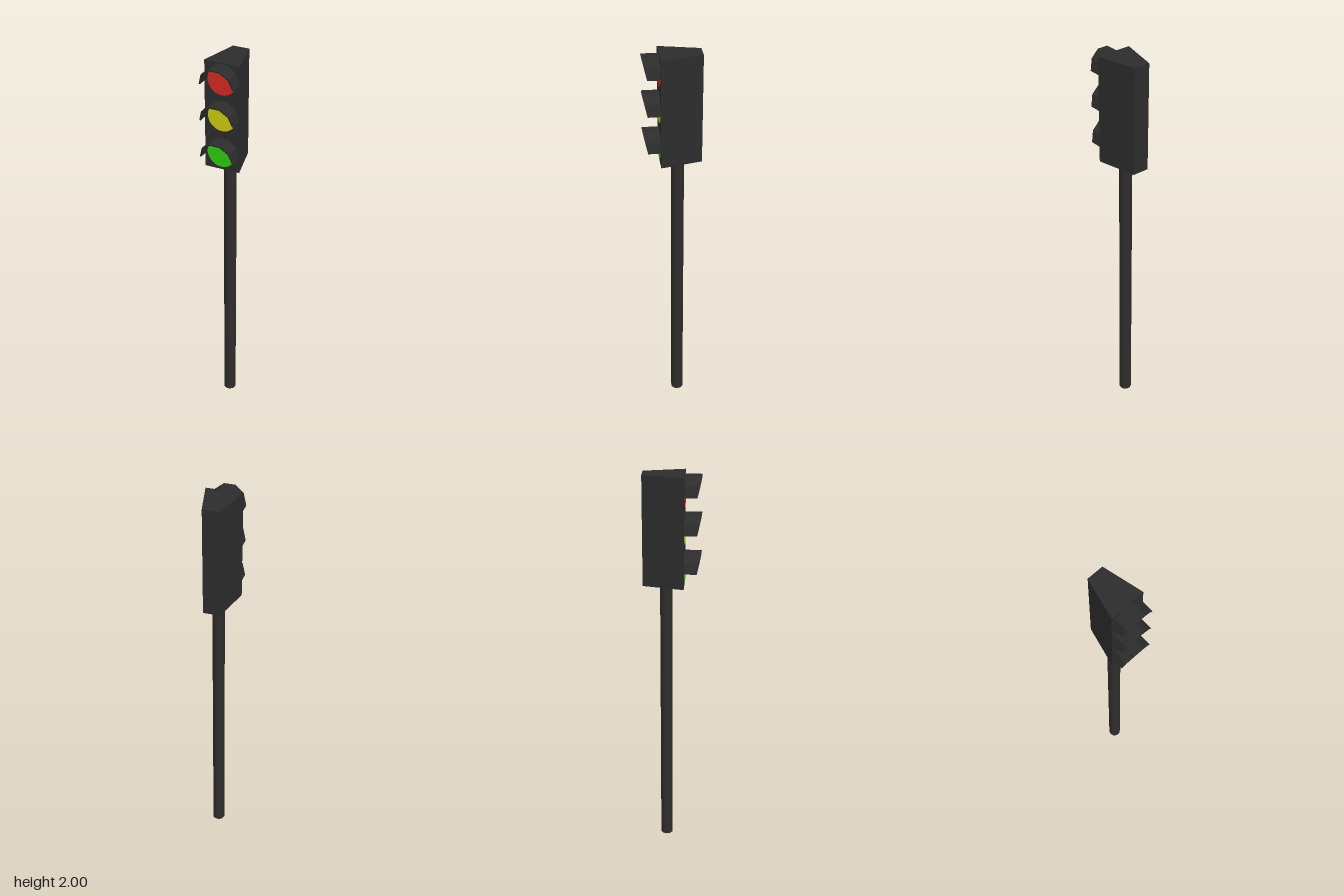
import * as THREE from 'three';

const material = (color) => new THREE.MeshStandardMaterial({ color });
const DARK = 0x2c2c2c;

function part(name, geometry, mat, parent) {
  const mesh = new THREE.Mesh(geometry, mat);
  mesh.name = name;
  parent.add(mesh);
  return mesh;
}

// Half-ring hood in five facets, its front edge raked back toward the sides
function visorGeometry() {
  const outer = [], inner = [];
  for (let i = 0; i <= 5; i++) {
    const a = (i / 5) * Math.PI;
    outer.push(new THREE.Vector2(0.088 * Math.cos(a), 0.092 * Math.sin(a)));
    inner.unshift(new THREE.Vector2(0.081 * Math.cos(a), 0.085 * Math.sin(a)));
  }
  const geometry = new THREE.ExtrudeGeometry(new THREE.Shape([...outer, ...inner]), { depth: 1, bevelEnabled: false });
  const p = geometry.attributes.position;
  for (let i = 0; i < p.count; i++) {
    if (p.getZ(i) > 0.5) p.setZ(i, 0.062 + 0.021 * Math.min(1, p.getY(i) / 0.087));
  }
  geometry.computeVertexNormals();
  return geometry;
}

export function createModel() {
  const model = new THREE.Group();
  model.name = 'trafficLight';
  const dark = material(DARK);

  // Pole
  const pole = part('pole', new THREE.CylinderGeometry(0.032, 0.032, 1.45, 10).rotateY(Math.PI / 2), material(0x2e2d2b), model);
  pole.position.set(0, 0.725, -0.029);

  // Housing: a prism that narrows toward the back
  const plan = new THREE.Shape([
    new THREE.Vector2(-0.09, -0.06), new THREE.Vector2(0.09, -0.06),
    new THREE.Vector2(0.042, 0.143), new THREE.Vector2(-0.042, 0.143),
  ]);
  const housing = part('housing', new THREE.ExtrudeGeometry(plan, { depth: 0.55, bevelEnabled: false }).rotateX(-Math.PI / 2), dark, model);
  housing.position.y = 1.45;

  // Three lamps, each with its visor
  const visor = visorGeometry();
  const disc = new THREE.CylinderGeometry(0.073, 0.073, 0.008, 32).rotateX(Math.PI / 2);
  const lamps = [
    ['red', 0xd42a22, 0, 1.913, 1.905],
    ['yellow', 0xcccc10, 0, 1.729, 1.721],
    ['green', 0x2ccc10, -0.004, 1.537, 1.529],
  ];
  for (const [name, color, x, lampY, visorY] of lamps) {
    part(name + 'Lamp', disc, material(color), model).position.set(x, lampY, 0.059);
    part(name + 'Visor', visor, dark, model).position.set(0, visorY, 0.06);
  }
  return model;
}
